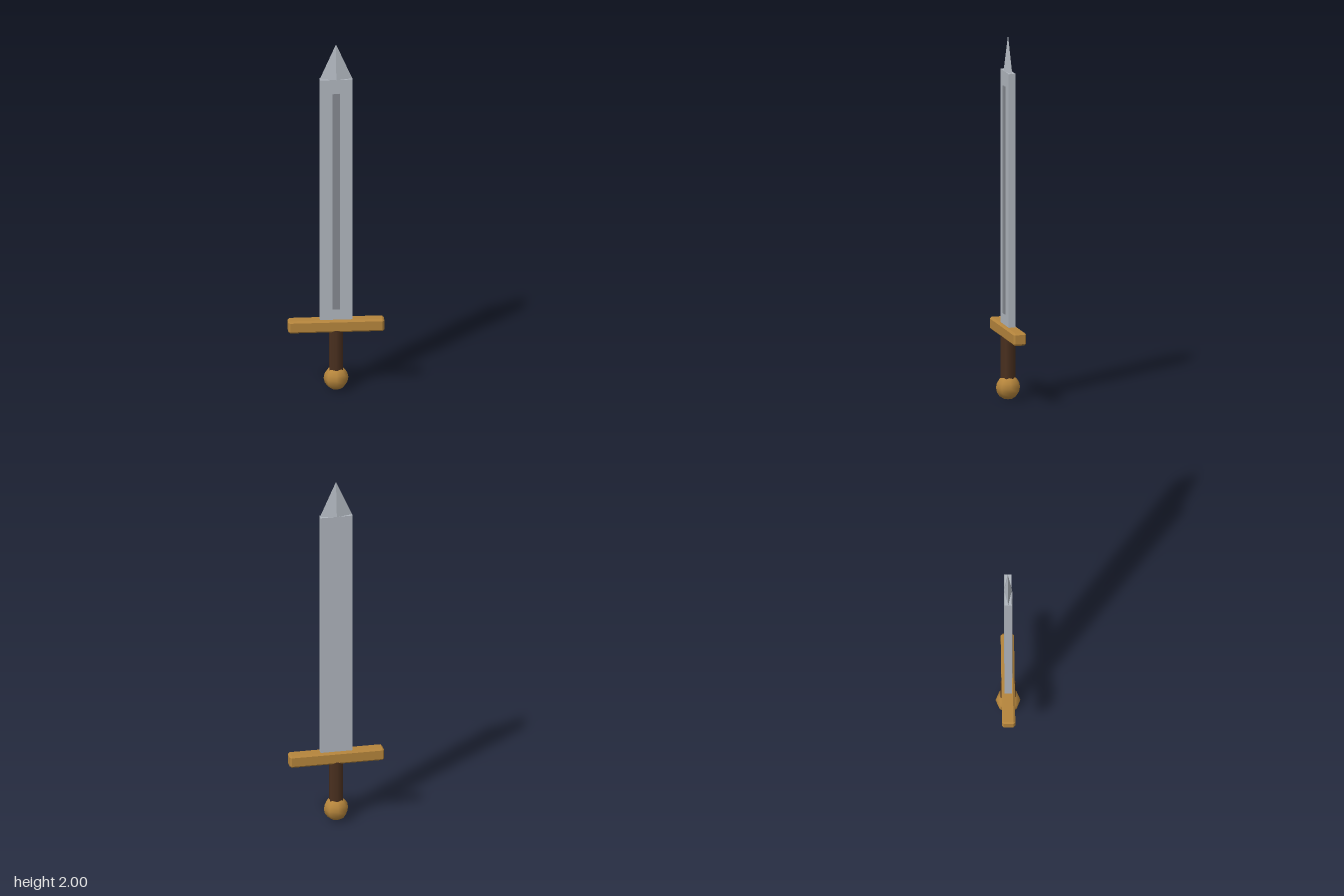
import * as THREE from 'three';
import { ConvexGeometry } from 'three/addons/geometries/ConvexGeometry.js';

const mat = (name, color, flatShading = false) => {
  const m = new THREE.MeshStandardMaterial({ color, flatShading });
  m.name = name;
  return m;
};

// Box with every edge cut at 45 degrees
function chamferBox(w, h, d, c) {
  const points = [];
  for (const x of [-w / 2, w / 2])
    for (const y of [-h / 2, h / 2])
      for (const z of [-d / 2, d / 2]) {
        const ix = x - Math.sign(x) * c, iy = y - Math.sign(y) * c, iz = z - Math.sign(z) * c;
        points.push(
          new THREE.Vector3(x, iy, iz),
          new THREE.Vector3(ix, y, iz),
          new THREE.Vector3(ix, iy, z),
        );
      }
  return new ConvexGeometry(points);
}

export function createModel() {
  const group = new THREE.Group();
  group.name = 'sword';

  const steel = mat('steel', 0xb0b6be, true);
  const darkSteel = mat('dark steel', 0x858990);
  const brass = mat('brass', 0xb5853c);
  const leather = mat('leather', 0x4a301f);

  const add = (name, geometry, material, y, z = 0) => {
    const mesh = new THREE.Mesh(geometry, material);
    mesh.name = name;
    mesh.position.set(0, y, z);
    group.add(mesh);
    return mesh;
  };

  // Blade with a raised dark strip on the front only
  add('blade', new THREE.BoxGeometry(0.176, 1.42, 0.038), steel, 1.09);
  add('bladeStrip', new THREE.BoxGeometry(0.042, 1.25, 0.008), darkSteel, 1.095, 0.02);

  // Flattened four-sided point
  const tip = add('bladeTip', new THREE.ConeGeometry(0.088, 0.2, 4), steel, 1.9);
  tip.scale.z = 0.25;

  // Hilt
  add('guard', chamferBox(0.52, 0.07, 0.072, 0.01), brass, 0.374);
  add('grip', new THREE.CylinderGeometry(0.041, 0.041, 0.25, 6), leather, 0.226);
  add('pommel', new THREE.SphereGeometry(0.067, 8, 8), brass, 0.067);

  return group;
}
